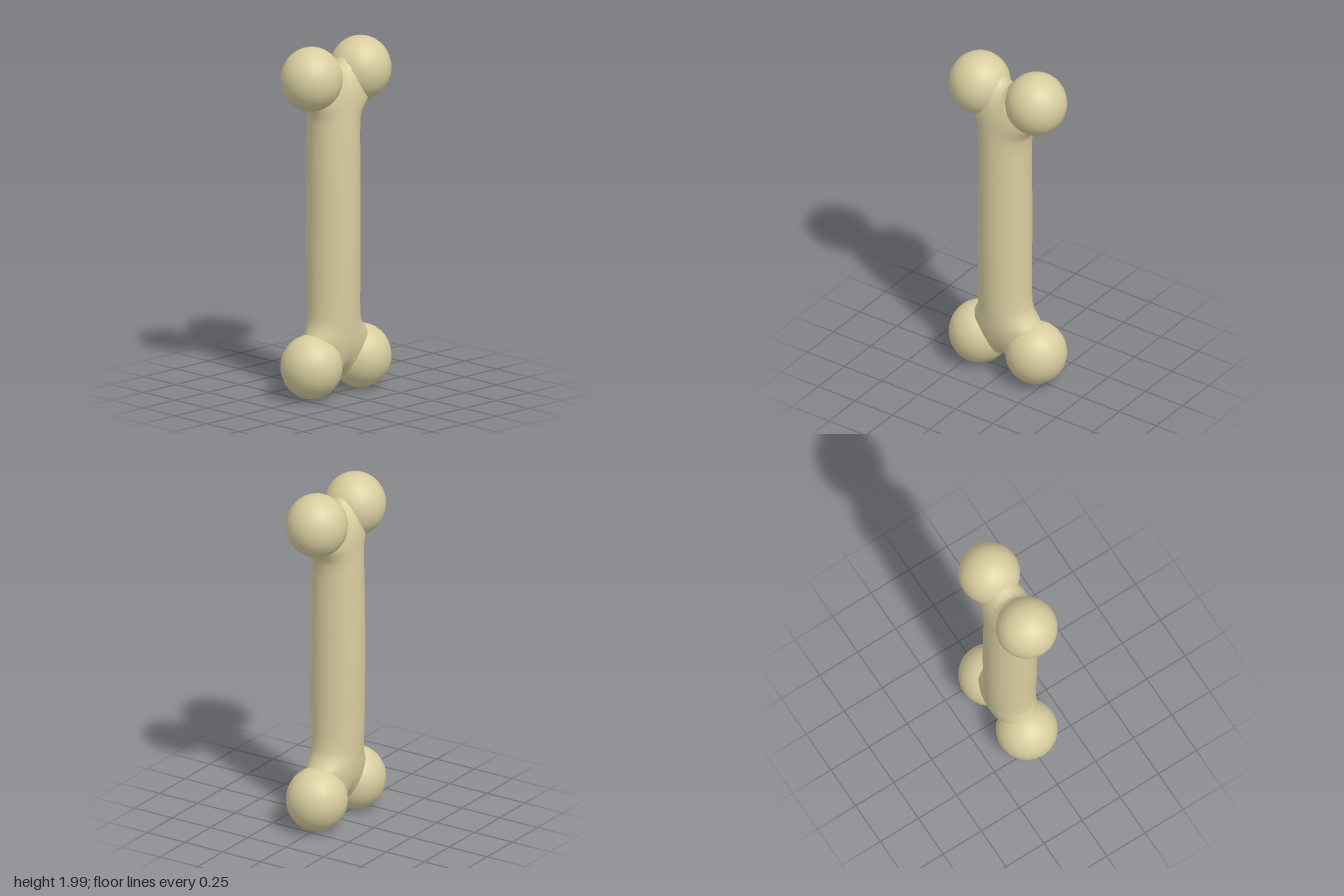
import * as THREE from 'three';
import { mergeVertices } from 'three/addons/utils/BufferGeometryUtils.js';

const MID = 1.0035; // mirror height between the two ends
const SEGMENTS = 32;

// Upper half cross-sections: height, half width in x, back z, front z, strength of the V saddle
const HALF = [
  [1.15, 0.15, -0.13, 0.17, 0],
  [1.32, 0.148, -0.13, 0.17, 0],
  [1.48, 0.143, -0.131, 0.17, 0],
  [1.56, 0.14, -0.138, 0.172, 0],
  [1.605, 0.137, -0.155, 0.18, 0],
  [1.64, 0.135, -0.19, 0.2, 0],
  [1.68, 0.133, -0.22, 0.22, 0],
  [1.73, 0.127, -0.22, 0.22, 0.15],
  [1.785, 0.108, -0.2, 0.2, 0.4],
  [1.83, 0.077, -0.18, 0.18, 0.7],
  [1.858, 0.04, -0.16, 0.16, 0.9],
  [1.868, 0, -0.15, 0.15, 1],
];

// Shaft with flared ends, lofted through elliptical rings
function shaftGeometry() {
  const lower = HALF.map(([y, w, b, f, v]) => [2 * MID - y, w, b, f, -v]).reverse();
  const rows = [...lower, ...HALF];
  const positions = [];
  const index = [];
  rows.forEach(([y, w, back, front, saddle], r) => {
    for (let i = 0; i < SEGMENTS; i++) {
      const a = (i / SEGMENTS) * Math.PI * 2;
      const z = (front + back) / 2 + ((front - back) / 2) * Math.cos(a);
      positions.push(w * Math.sin(a), y + saddle * Math.min(Math.abs(z), 0.07), z);
      if (r === rows.length - 1) continue;
      const j = (i + 1) % SEGMENTS;
      const p = r * SEGMENTS + i, q = r * SEGMENTS + j;
      index.push(p, q, q + SEGMENTS, p, q + SEGMENTS, p + SEGMENTS);
    }
  });
  const geometry = new THREE.BufferGeometry();
  geometry.setAttribute('position', new THREE.Float32BufferAttribute(positions, 3));
  geometry.setIndex(index);
  const welded = mergeVertices(geometry, 1e-4);
  welded.computeVertexNormals();
  return welded;
}

export function createModel() {
  const group = new THREE.Group();
  group.name = 'bone';
  const material = new THREE.MeshStandardMaterial({ color: 0xd8cd9f });

  const shaft = new THREE.Mesh(shaftGeometry(), material);
  shaft.name = 'shaft';
  group.add(shaft);

  // Four rounded knobs, a pair at each end
  const knobGeometry = new THREE.SphereGeometry(1, 22, 18).rotateY(Math.PI / 2).scale(0.172, 0.18, 0.172);
  for (const [endName, end] of [['upper', 1], ['lower', -1]]) {
    for (const [sideName, side] of [['Front', 1], ['Back', -1]]) {
      const knob = new THREE.Mesh(knobGeometry, material);
      knob.name = `${endName}${sideName}Knob`;
      knob.position.set(0, MID + end * 0.8165, side * 0.19);
      group.add(knob);
    }
  }
  return group;
}
